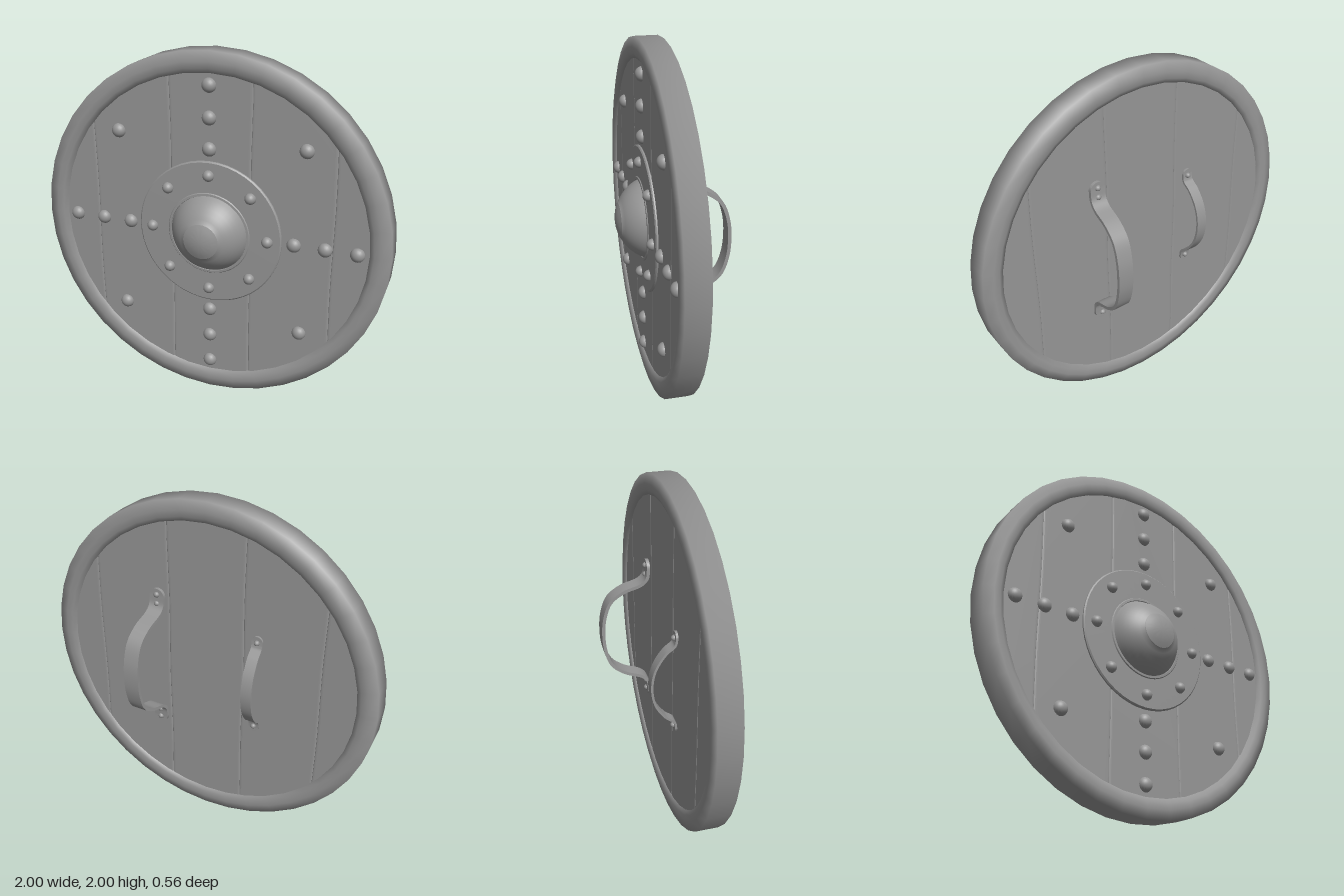
import * as THREE from 'three';
import { toCreasedNormals } from 'three/addons/utils/BufferGeometryUtils.js';

const material = new THREE.MeshStandardMaterial({ color: 0x969696 });
const CY = 1; // height of the shield centre

function addMesh(parent, name, geometry) {
  const mesh = new THREE.Mesh(geometry, material);
  mesh.name = name;
  parent.add(mesh);
  return mesh;
}

// Turned part: profile of [radius, z], spun about the z axis through the centre
function turned(profile, segments, crease = 0.6) {
  const pts = profile.map(([r, z]) => new THREE.Vector2(r, z));
  const geo = new THREE.LatheGeometry(pts, segments);
  geo.rotateX(Math.PI / 2).translate(0, CY, 0);
  return toCreasedNormals(geo, crease);
}

// Domed rivet head facing front (dir 1) or back (dir -1)
function addRivet(parent, name, x, y, z, radius, height, dir = 1) {
  const geo = new THREE.SphereGeometry(radius, 18, 7, 0, Math.PI * 2, 0, Math.PI / 2);
  geo.scale(1, height / radius, 1).rotateX(dir * Math.PI / 2);
  addMesh(parent, name, geo).position.set(x, y, z);
}

// Plank with softly rounded edges between two joints, its ends following the circle under the rim
function plankGeometry(x0, x1) {
  const R = 0.93, steps = 12, bevel = 0.004;
  const side = (xj) => {
    const h = Math.sqrt(R * R - xj * xj);
    return Array.from({ length: steps + 1 }, (_, i) => {
      const y = -h + (2 * h * i) / steps;
      return new THREE.Vector2(xj + 0.003 * Math.sin(y * 7 + xj * 9), y);
    });
  };
  const arc = (from, to, sign) => Array.from({ length: steps - 1 }, (_, i) => {
    const x = from + ((to - from) * (i + 1)) / steps;
    return new THREE.Vector2(x, sign * Math.sqrt(R * R - x * x));
  });
  const right = x1 < R ? side(x1) : [new THREE.Vector2(R, 0)];
  const left = x0 > -R ? side(x0).reverse() : [new THREE.Vector2(-R, 0)];
  const shape = new THREE.Shape([...right, ...arc(x1, x0, 1), ...left, ...arc(x0, x1, -1)]);
  const geo = new THREE.ExtrudeGeometry(shape, {
    depth: 0.11, bevelEnabled: true, bevelThickness: bevel,
    bevelSize: 0.014, bevelOffset: -0.014, bevelSegments: 3,
  });
  return geo.translate(0, CY, 0.006 + bevel);
}

// Flat strap swept along a path of [y, z], with rounded ends, leaning sideways by lean
function strapGeometry(path, width, thickness, lean) {
  const curve = new THREE.CatmullRomCurve3(path.map(([y, z]) => new THREE.Vector3(0, y, z)));
  const length = curve.getLength(), half = width / 2;
  const n = 72, pos = [], index = [];
  const X = new THREE.Vector3(1, 0, 0), N = new THREE.Vector3();
  for (let i = 0; i <= n; i++) {
    // samples bunch up towards the rounded ends
    const t = (1 - Math.cos((Math.PI * i) / n)) / 2;
    const p = curve.getPointAt(t);
    N.crossVectors(X, curve.getTangentAt(t)).normalize().multiplyScalar(thickness / 2);
    const s = Math.min(t, 1 - t) * length / half;
    const w = s < 1 ? half * Math.sqrt(Math.max(0, 1 - (1 - s) ** 2)) : half;
    const cx = lean * Math.max(0, -p.z);
    for (const [a, b] of [[1, 1], [-1, 1], [-1, -1], [1, -1]])
      pos.push(cx + a * w, p.y + b * N.y, p.z + b * N.z);
  }
  for (let i = 0; i < n; i++) {
    for (let j = 0; j < 4; j++) {
      const a = i * 4 + j, b = i * 4 + ((j + 1) % 4);
      index.push(a, a + 4, b + 4, a, b + 4, b);
    }
  }
  const geo = new THREE.BufferGeometry();
  geo.setAttribute('position', new THREE.Float32BufferAttribute(pos, 3));
  geo.setIndex(index);
  return toCreasedNormals(geo, 0.7);
}

export function createModel() {
  const shield = new THREE.Group();
  shield.name = 'roundShield';

  // Wooden planks
  const planks = new THREE.Group();
  planks.name = 'planks';
  shield.add(planks);
  const joints = [-0.93, -0.68, -0.225, 0.235, 0.69, 0.93];
  for (let i = 0; i < 5; i++) addMesh(planks, 'plank', plankGeometry(joints[i], joints[i + 1]));

  // Rim band, softly shaded from its faces round to its outer edge
  addMesh(shield, 'rim', turned([
    [0.885, 0.02], [0.885, 0.004], [0.91, -0.008], [0.945, -0.011], [1, 0.002],
    [1, 0.131], [0.945, 0.144], [0.91, 0.141], [0.885, 0.126], [0.885, 0.1],
  ], 40, 1.5));

  // Central plate
  addMesh(shield, 'bossPlate', turned([
    [0.415, 0.115], [0.415, 0.132], [0.408, 0.138], [0.25, 0.14], [0.2, 0.14],
  ], 48));

  // Boss: a spherical cap on a narrow lip, with a slightly raised disc at its tip
  const capRadius = 0.241;
  const dome = [[0.24, 0.138], [0.234, 0.145], [0.222, 0.146]];
  for (const r of [0.22, 0.21, 0.195, 0.175, 0.15, 0.125, 0.103, 0.1, 0.075, 0.05, 0.025, 0])
    dome.push([r, 0.04 + Math.sqrt(capRadius ** 2 - r * r) + (r <= 0.1 ? 0.002 : 0)]);
  addMesh(shield, 'boss', turned(dome, 48, 0.45));

  // Front rivets: a cross of rows, four diagonals and a ring on the plate
  const rivets = new THREE.Group();
  rivets.name = 'frontRivets';
  shield.add(rivets);
  for (let k = 0; k < 4; k++) {
    const a = (k * Math.PI) / 2, d = a + Math.PI / 4;
    for (const r of [0.48, 0.65, 0.822])
      addRivet(rivets, 'plankRivet', r * Math.cos(a), CY + r * Math.sin(a), 0.122, 0.04, 0.036);
    addRivet(rivets, 'plankRivet', 0.748 * Math.cos(d), CY + 0.748 * Math.sin(d), 0.122, 0.04, 0.036);
  }
  for (let k = 0; k < 8; k++) {
    const a = (k * Math.PI) / 4;
    addRivet(rivets, 'plateRivet', 0.336 * Math.cos(a), CY + 0.336 * Math.sin(a), 0.138, 0.032, 0.034);
  }

  // Arm strap and hand grip on the back
  const straps = [
    { name: 'armStrap', x: 0.3, width: 0.09, thickness: 0.019, lean: 0.08, rivets: [0.36, 0.415], size: 0.017,
      path: [[1.45, -0.003], [1.4, -0.004], [1.345, -0.012], [1.31, -0.045], [1.27, -0.15], [1.21, -0.225],
        [1.11, -0.262], [1, -0.272], [0.89, -0.262], [0.79, -0.225], [0.73, -0.15], [0.69, -0.045],
        [0.655, -0.012], [0.6, -0.004], [0.55, -0.003]] },
    { name: 'handGrip', x: -0.31, width: 0.062, thickness: 0.013, lean: -0.04, rivets: [0.275], size: 0.016,
      path: [[1.312, -0.003], [1.275, -0.004], [1.24, -0.012], [1.2, -0.06], [1.11, -0.118], [1, -0.138],
        [0.89, -0.118], [0.8, -0.06], [0.76, -0.012], [0.725, -0.004], [0.688, -0.003]] },
  ];
  for (const s of straps) {
    const group = new THREE.Group();
    group.name = s.name;
    group.position.x = s.x;
    shield.add(group);
    addMesh(group, s.name + 'Band', strapGeometry(s.path, s.width, s.thickness, s.lean));
    for (const dy of s.rivets)
      for (const sign of [1, -1])
        addRivet(group, s.name + 'Rivet', 0, CY + sign * dy, -0.01, s.size, 0.018, -1);
  }
  return shield;
}
